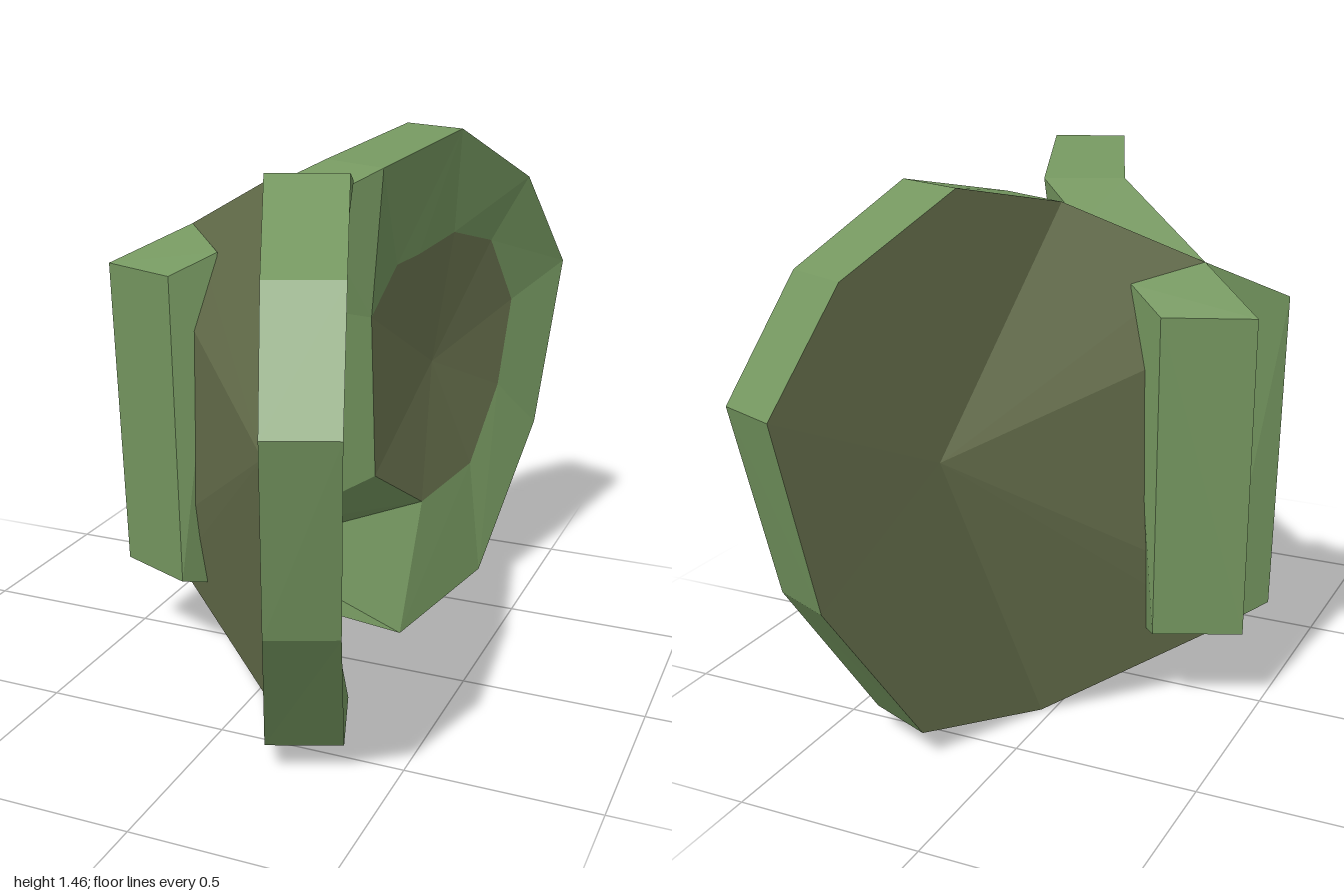
import * as THREE from 'three';

const green = new THREE.MeshStandardMaterial({ color: 0x74965f });
green.name = 'leaf green';
const olive = new THREE.MeshStandardMaterial({ color: 0x666f4c });
olive.name = 'dull olive';

// Flat-faceted mesh from polygons of [x, y, z] corners; side -1 mirrors it across z = 0
function facets(name, polygons, material, side) {
  const pos = [];
  for (const poly of polygons) {
    for (let i = 1; i < poly.length - 1; i++) {
      const tri = [poly[0], poly[i], poly[i + 1]];
      if (new Set(tri).size < 3) continue;
      if (side < 0) tri.reverse();
      for (const [x, y, z] of tri) pos.push(x, y, z * side);
    }
  }
  const geometry = new THREE.BufferGeometry();
  geometry.setAttribute('position', new THREE.Float32BufferAttribute(pos, 3));
  geometry.computeVertexNormals();
  const mesh = new THREE.Mesh(geometry, material);
  mesh.name = name;
  return mesh;
}

// Quads joining two open rows of points
const strip = (a, b) => a.slice(1).map((_, i) => [a[i], b[i], b[i + 1], a[i + 1]]);

// Front and rear edges of the lobe, from the hinge top around to the hinge bottom
const rim = [[0.04, 1.295, 0], [0.2, 1.385, 0.11], [0.315, 1.456, 0.43], [0.43, 1.285, 0.74],
  [0.5, 1, 0.935], [0.46, 0.5, 0.83], [0.37, 0.08, 0.575], [0.24, 0, 0.21], [0.02, 0.14, 0]];
const back = [[-0.31, 1.22, 0], [0, 1.385, 0.2], [0.13, 1.456, 0.5], [0.26, 1.285, 0.81],
  [0.34, 1, 1], [0.3, 0.5, 0.9], [0.19, 0.08, 0.65], [0.03, 0, 0.29], [-0.375, 0.2, 0]];
const hingeBack = [[-0.4, 0.33, 0], [-0.39, 1.05, 0]];
const backCentre = [0.155, 0.795, 0.575];

// Bowl edge as [z, y], sunk slightly behind the sloping rim plane
const bowlEdge = [[0.14, 0.97], [0.24, 1.1], [0.33, 1.115], [0.48, 1.155], [0.65, 1.105],
  [0.76, 0.905], [0.71, 0.645], [0.59, 0.42], [0.37, 0.36], [0.165, 0.5]]
  .map(([z, y]) => [0.11 + 0.365 * z, y, z]);
const bowlCentre = [0.235, 0.77, 0.46];

// Inner crease between the lobes
const crease = [rim[0], [-0.03, 1.02, 0], [-0.08, 0.37, 0], [-0.16, 0.29, 0], rim[8]];

// Hinge block sections
const blockTop = [[-0.31, 1.22, 0], [-0.165, 1.18, 0.145], [-0.275, 1.12, 0.215], [-0.5, 1.12, 0.13]];
const blockBottom = [[-0.375, 0.2, 0], [-0.215, 0.23, 0.14], [-0.26, 0.25, 0.205], [-0.48, 0.25, 0.11]];

function lobe(side) {
  const group = new THREE.Group();
  group.name = side > 0 ? 'frontLobe' : 'backLobe';

  const rimForBowl = [1, 1, 2, 2, 3, 4, 5, 6, 7].map((i) => rim[i]);
  const creaseEdge = [rim[1], bowlEdge[0], bowlEdge[9], bowlEdge[8], rim[7]];
  const outline = [...back, ...hingeBack];
  const around = (list, i) => list[(i + 1) % list.length];

  group.add(
    facets('edgeWall', strip(rim, back), green, side),
    facets('innerLip', strip(bowlEdge.slice(0, 9), rimForBowl), green, side),
    facets('innerCrease', strip(crease, creaseEdge), green, side),
    facets('bowl', bowlEdge.map((p, i) => [bowlCentre, p, around(bowlEdge, i)]), olive, side),
    facets('outerShell', outline.map((p, i) => [backCentre, around(outline, i), p]), olive, side),
    facets('hingeBlock', [
      [...blockTop].reverse(),
      blockBottom,
      ...blockTop.map((p, i) => [p, around(blockTop, i), around(blockBottom, i), blockBottom[i]]),
    ], green, side),
  );
  return group;
}

export function createModel() {
  const model = new THREE.Group();
  model.name = 'openLobes';
  model.add(lobe(1), lobe(-1));
  return model;
}
